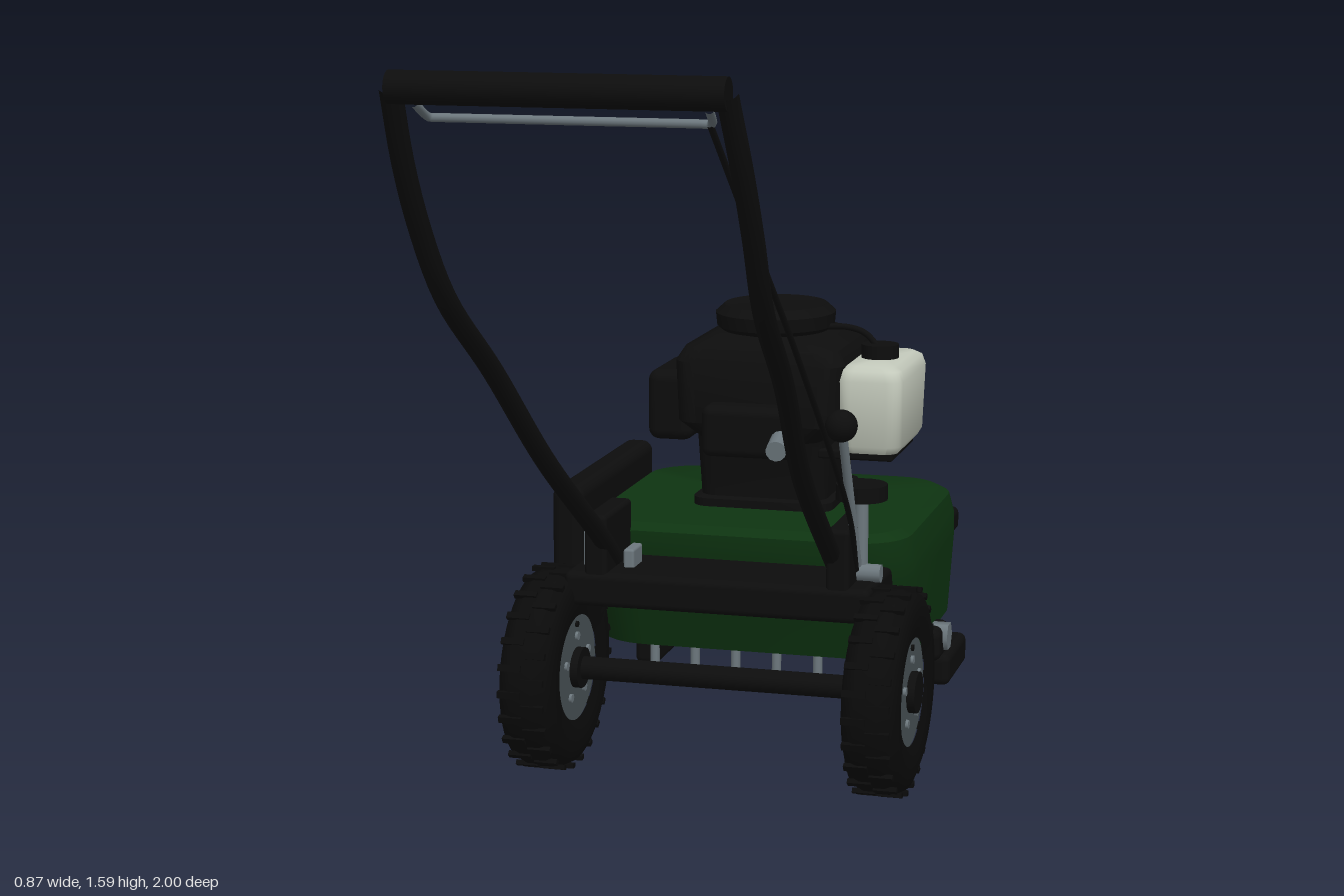
import * as THREE from 'three';
import { toCreasedNormals } from 'three/addons/utils/BufferGeometryUtils.js';
import { RoundedBoxGeometry } from 'three/addons/geometries/RoundedBoxGeometry.js';

function material(name, color, side = THREE.FrontSide) {
  const m = new THREE.MeshStandardMaterial({ color, side });
  m.name = name;
  return m;
}

// Stacked rounded rectangles: each ring is [y, halfWidth, zBack, zFront, cornerRadius]
function loft(rings, openBottom = false, crease = 0.6) {
  const pos = [], index = [], seg = 6, n = 4 * (seg + 1);
  for (const [y, hx, z0, z1, r] of rings) {
    const cz = (z0 + z1) / 2, hz = (z1 - z0) / 2;
    for (let q = 0; q < 4; q++) {
      const sx = q === 0 || q === 3 ? 1 : -1, sz = q < 2 ? 1 : -1;
      for (let k = 0; k <= seg; k++) {
        const a = (q + k / seg) * Math.PI / 2;
        pos.push(sx * (hx - r) + r * Math.cos(a), y, cz + sz * (hz - r) + r * Math.sin(a));
      }
    }
  }
  const last = rings.length - 1;
  const mid = (i) => { pos.push(0, rings[i][0], (rings[i][2] + rings[i][3]) / 2); return pos.length / 3 - 1; };
  const top = mid(last), bottom = mid(0);
  for (let j = 0; j < n; j++) {
    const k = (j + 1) % n;
    for (let i = 0; i < last; i++) {
      const a = i * n + j, b = a + n, d = i * n + k, c = d + n;
      index.push(a, b, c, a, c, d);
    }
    index.push(top, last * n + k, last * n + j);
    if (!openBottom) index.push(bottom, j, k);
  }
  const g = new THREE.BufferGeometry();
  g.setAttribute('position', new THREE.Float32BufferAttribute(pos, 3));
  g.setIndex(index);
  return toCreasedNormals(g, crease);
}

export function createModel() {
  const model = new THREE.Group();
  model.name = 'lawnAerator';
  const black = material('blackPaint', 0x0d0d0d);
  const rubber = material('tyreRubber', 0x0a0a0a);
  const green = material('deckGreen', 0x0e3411, THREE.DoubleSide);
  const steel = material('steel', 0x6d787e);
  const rimGrey = material('rimGrey', 0x4a5458);
  const white = material('tankWhite', 0xc3c9bb);

  const add = (name, geo, mat, x = 0, y = 0, z = 0, parent = model) => {
    const m = new THREE.Mesh(geo, mat);
    m.name = name;
    m.position.set(x, y, z);
    parent.add(m);
    return m;
  };
  // Box given by its extents
  const box = (name, mat, x0, x1, y0, y1, z0, z1, r = 0.01) => add(name,
    new RoundedBoxGeometry(x1 - x0, y1 - y0, z1 - z0, 3, r), mat, (x0 + x1) / 2, (y0 + y1) / 2, (z0 + z1) / 2);
  const cylX = (r, len, sides = 24) => new THREE.CylinderGeometry(r, r, len, sides).rotateZ(-Math.PI / 2);
  // Straight rod between two points
  const rod = (name, mat, a, b, r) => {
    const p = new THREE.Vector3(...a), q = new THREE.Vector3(...b), d = q.clone().sub(p);
    const m = add(name, new THREE.CylinderGeometry(r, r, d.length(), 12), mat);
    m.position.copy(p).add(q).multiplyScalar(0.5);
    m.quaternion.setFromUnitVectors(new THREE.Vector3(0, 1, 0), d.normalize());
    return m;
  };
  const tube = (name, mat, pts, r, seg = 40) => add(name,
    new THREE.TubeGeometry(new THREE.CatmullRomCurve3(pts.map((p) => new THREE.Vector3(...p))), seg, r, 10), mat);

  // Hollow deck shell
  add('deck', loft([
    [0.22, 0.365, -0.95, -0.35, 0.13], [0.4, 0.375, -0.965, -0.29, 0.13], [0.45, 0.375, -0.96, -0.27, 0.13],
    [0.5, 0.365, -0.935, -0.265, 0.12], [0.517, 0.345, -0.9, -0.28, 0.11],
  ], true), green);

  // Front axle platform and side belt cover
  box('platform', black, -0.335, 0.335, 0.37, 0.445, -0.34, -0.08, 0.015);
  box('beltCover', black, -0.435, -0.362, 0.22, 0.58, -0.88, -0.3, 0.025);
  add('frontAxle', cylX(0.025, 0.7), black, 0, 0.22, -0.13);

  // Large wheels, slightly flattened in height
  const tyreProfile = [[0.13, -0.05], [0.16, -0.058], [0.2, -0.06], [0.232, -0.05], [0.246, -0.025],
    [0.246, 0.025], [0.232, 0.05], [0.2, 0.06], [0.16, 0.058], [0.13, 0.05]].map((p) => new THREE.Vector2(...p));
  for (const s of [-1, 1]) {
    const wheel = new THREE.Group();
    wheel.name = s > 0 ? 'leftWheel' : 'rightWheel';
    wheel.position.set(s * 0.37, 0.22, -0.13);
    wheel.scale.set(1, 0.88, 1);
    model.add(wheel);
    add('tyre', new THREE.LatheGeometry(tyreProfile, 48).rotateZ(-Math.PI / 2), rubber, 0, 0, 0, wheel);
    add('rim', cylX(0.134, 0.094, 40), rimGrey, 0, 0, 0, wheel);
    add('hub', cylX(0.05, 0.128), black, 0, 0, 0, wheel);
    for (let i = 0; i < 5; i++) {
      const a = Math.PI / 2 + i * Math.PI * 2 / 5;
      add('wheelBolt', cylX(0.011, 0.106, 8), steel, 0, 0.08 * Math.sin(a), 0.08 * Math.cos(a), wheel);
    }
    add('valve', cylX(0.008, 0.104, 8), black, 0, 0.11, 0, wheel);
    for (let i = 0; i < 48; i++) {
      const a = i * Math.PI / 24, side = i % 2 ? 1 : -1;
      const lug = add('treadLug', new THREE.BoxGeometry(0.05, 0.012, 0.016), rubber, side * 0.025, 0.245 * Math.cos(a), 0.245 * Math.sin(a), wheel);
      lug.rotation.x = a;
    }

    // Rear skids and corner brackets
    box('rearSkid', black, s * 0.352 - 0.03, s * 0.352 + 0.03, 0.05, 0.125, -1, -0.77, 0.018);
    box('cornerBracket', black, s * 0.325 - 0.04, s * 0.325 + 0.04, 0.385, 0.44, -0.967, -0.875, 0.015);

    // Handle side tube, bracket and bearing
    tube('handleSide', black, [[0.25, 0.46, -0.17], [0.25, 0.52, -0.09], [0.265, 0.76, 0.25], [0.288, 0.98, 0.49],
      [0.302, 1.155, 0.71], [0.31, 1.29, 0.81], [0.31, 1.42, 0.89], [0.302, 1.56, 0.965]].map(([x, y, z]) => [s * x, y, z]), 0.021);
    box('handleBracket', black, s * 0.265 - 0.025, s * 0.265 + 0.025, 0.42, 0.57, -0.28, -0.085, 0.01);
    box('shaftBearing', black, s * 0.37 - 0.025, s * 0.37 + 0.025, 0.16, 0.235, -0.7, -0.575, 0.02);
    add('shaftNut', cylX(0.033, 0.06, 6), steel, s * 0.375, 0.208, -0.64);
    box('sideRail', steel, s * 0.34 - 0.015, s * 0.34 + 0.015, 0.205, 0.225, -0.8, -0.47, 0.004);
  }
  for (const [x, h] of [[-0.3, 0.52], [-0.21, 0.485]])
    box('platformLug', steel, x - 0.012, x + 0.012, 0.43, h, -0.22, -0.15, 0.006);

  // Handle grip, bail bar and control cable
  add('handleGrip', cylX(0.03, 0.61), black, 0, 1.56, 0.965);
  tube('bailBar', steel, [[-0.272, 1.53, 0.93], [-0.264, 1.5, 0.872], [-0.25, 1.5, 0.87], [0, 1.5, 0.87], [0.235, 1.5, 0.87],
    [0.25, 1.5, 0.872], [0.262, 1.53, 0.93]], 0.008, 60);
  tube('controlCable', black, [[0.25, 1.5, 0.88], [0.275, 1.25, 0.64], [0.291, 0.99, 0.36], [0.298, 0.6, -0.06], [0.29, 0.47, -0.16]], 0.006);

  // Control lever and depth knob
  rod('leverRod', steel, [0.29, 0.44, -0.19], [0.285, 0.8, -0.03], 0.01);
  add('leverBall', new THREE.SphereGeometry(0.034, 20, 14), black, 0.285, 0.805, -0.025);
  rod('knobRod', steel, [0.295, 0.43, -0.185], [0.295, 0.63, -0.185], 0.015);
  add('depthKnob', new THREE.CylinderGeometry(0.055, 0.055, 0.033, 24), black, 0.295, 0.635, -0.185);
  rod('leverPivot', steel, [0.24, 0.46, -0.18], [0.34, 0.46, -0.18], 0.02);

  // Tine shaft and tines
  add('tineShaft', cylX(0.021, 0.78), steel, 0, 0.2, -0.64);
  for (let i = 0; i < 7; i++) {
    const x = -0.293 + i * 0.0977;
    add('tine', new THREE.CylinderGeometry(0.011, 0.011, 0.12, 10), steel, x, 0.127, -0.64);
    add('tineCollar', new THREE.CylinderGeometry(0.016, 0.016, 0.06, 10), steel, x, 0.195, -0.64);
  }
  add('driveShaft', new THREE.CylinderGeometry(0.045, 0.045, 0.22, 20), black, 0, 0.41, -0.62);

  // Engine: crankcase, shroud and round starter cap
  add('crankcase', loft([[0.51, 0.16, -0.81, -0.47, 0.04], [0.535, 0.16, -0.81, -0.47, 0.04], [0.54, 0.145, -0.79, -0.485, 0.04],
    [0.63, 0.15, -0.79, -0.48, 0.04], [0.71, 0.15, -0.79, -0.46, 0.04]]), black);
  add('engineShroud', loft([[0.675, 0.14, -0.78, -0.45, 0.05], [0.715, 0.185, -0.81, -0.425, 0.05], [0.85, 0.193, -0.815, -0.43, 0.05],
    [0.88, 0.175, -0.8, -0.445, 0.05], [0.905, 0.12, -0.76, -0.49, 0.05]]), black);
  const cap = add('starterCap', toCreasedNormals(new THREE.LatheGeometry([[0.1, 0.89], [0.132, 0.915], [0.135, 0.945],
    [0.115, 0.963], [0.1, 0.958], [0, 0.965]].map((p) => new THREE.Vector2(...p)), 32), 0.5), black, 0, 0, -0.62);
  cap.scale.z = 1.13;
  for (let i = 0; i < 3; i++)
    box('coolingFin', steel, -0.155, 0.155, 0.6 + i * 0.03, 0.608 + i * 0.03, -0.805, -0.72, 0.003);

  // Air filter, muffler and exhaust stub
  box('airFilter', black, -0.265, -0.16, 0.66, 0.82, -0.7, -0.48, 0.025);
  box('muffler', black, -0.11, 0.105, 0.65, 0.765, -0.455, -0.37, 0.02);
  rod('exhaustStub', steel, [0.07, 0.7, -0.4], [0.078, 0.685, -0.305], 0.023);

  // Fuel tank with cap, bracket and hose
  const tank = add('fuelTank', loft([[0.658, 0.06, -0.74, -0.46, 0.03], [0.675, 0.07, -0.75, -0.45, 0.035],
    [0.82, 0.075, -0.757, -0.445, 0.035], [0.843, 0.068, -0.75, -0.452, 0.035], [0.852, 0.052, -0.735, -0.467, 0.03]], false, 1), white);
  tank.position.x = 0.25;
  add('tankCap', new THREE.CylinderGeometry(0.042, 0.042, 0.035, 24), black, 0.245, 0.865, -0.6);
  box('tankBracket', black, 0.13, 0.3, 0.638, 0.66, -0.72, -0.48, 0.006);
  tube('fuelHose', black, [[0.1, 0.915, -0.6], [0.17, 0.917, -0.6], [0.21, 0.905, -0.6], [0.24, 0.875, -0.6]], 0.007, 20);

  return model;
}
